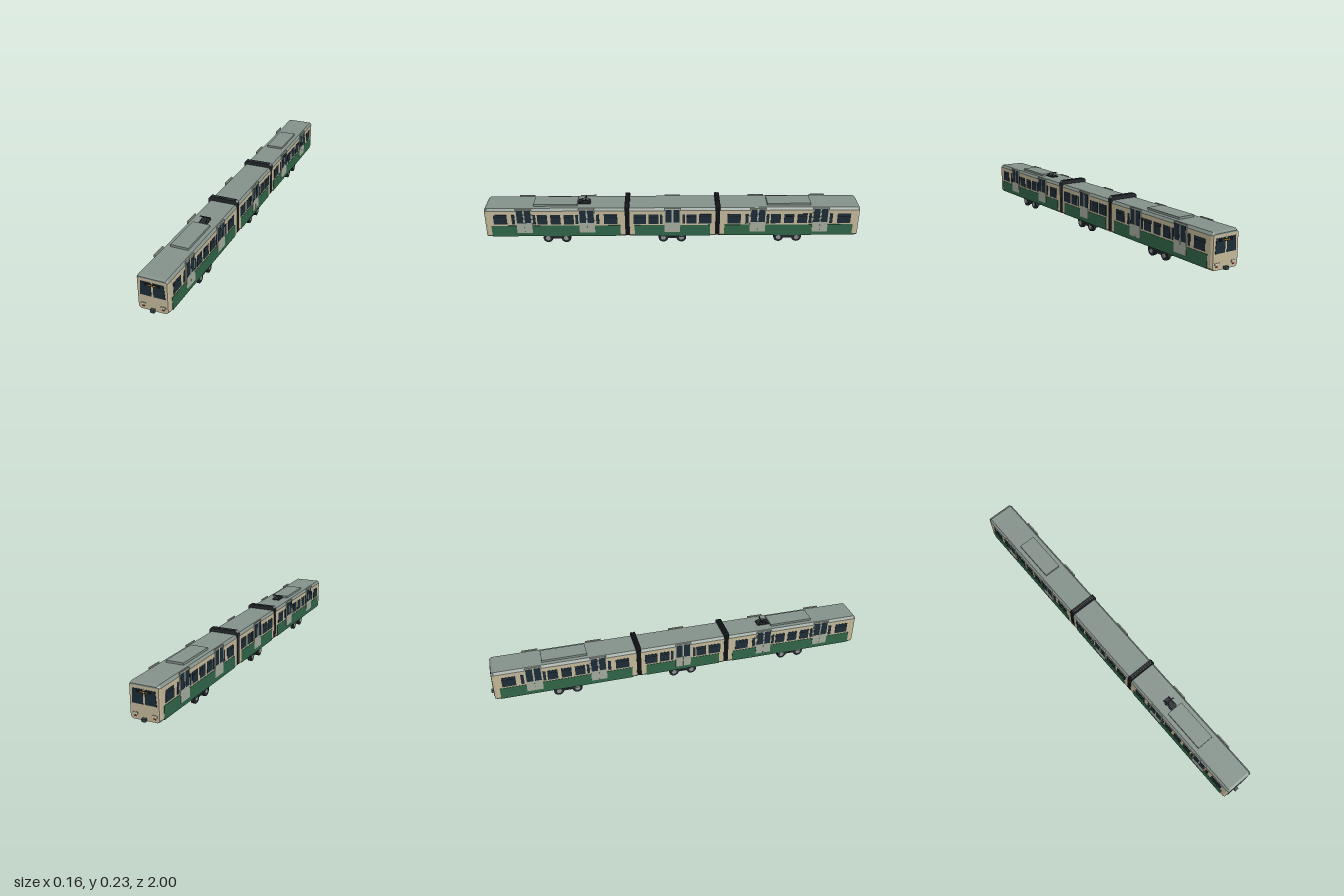
import * as THREE from 'three';

const mat = (color) => new THREE.MeshStandardMaterial({ color, flatShading: true, side: THREE.DoubleSide });
const M = {
  cream: mat(0xc2b799), roof: mat(0x84918a), green: mat(0x2f6447), glass: mat(0x1c2c36),
  door: mat(0xa3ab9c), dark: mat(0x23272c), frame: mat(0x38444a), steel: mat(0x8d9290),
  amber: mat(0xe0a030), red: mat(0x9c3030), lamp: mat(0xddd5b5), black: mat(0x121518),
};

function add(parent, name, geometry, material, x = 0, y = 0, z = 0) {
  const mesh = new THREE.Mesh(geometry, material);
  mesh.name = name;
  mesh.position.set(x, y, z);
  parent.add(mesh);
  return mesh;
}
const box = (parent, name, material, w, h, d, x, y, z) =>
  add(parent, name, new THREE.BoxGeometry(w, h, d), material, x, y, z);

// Skin over convex sections [z, points], ordered by rising z, points anticlockwise from +z
function loft(sections) {
  const n = sections[0][1].length, pos = [], idx = [];
  sections.forEach(([z, pts]) => pts.forEach(([x, y]) => pos.push(x, y, z)));
  for (let s = 0; s < sections.length - 1; s++) {
    for (let i = 0; i < n; i++) {
      const a = s * n + i, b = s * n + (i + 1) % n;
      idx.push(a, b, b + n, a, b + n, a + n);
    }
  }
  const e = (sections.length - 1) * n;
  for (let i = 1; i < n - 1; i++) idx.push(0, i + 1, i, e, e + i, e + i + 1);
  const g = new THREE.BufferGeometry();
  g.setAttribute('position', new THREE.Float32BufferAttribute(pos, 3));
  g.setIndex(idx);
  const flat = g.toNonIndexed();
  flat.computeVertexNormals();
  return flat;
}

// Cross-sections mirrored from the right-hand half
const mirror = (half) => [...half, ...half.slice().reverse().map(([x, y]) => [-x, y])];
const wallSection = (inset) => mirror([[0.066 - inset, 0.037], [0.0765 - inset, 0.048], [0.0765 - inset, 0.193]]);
const roofSection = (inset, top) => mirror([[0.0765 - inset, 0.193], [0.067 - inset, top]]);
const bellowsSection = (inset) => mirror([
  [0.07 - inset, 0.042], [0.079 - inset, 0.05], [0.079 - inset, 0.216 - inset], [0.068 - inset, 0.227 - inset]]);

// Stripe, windows and doors on both sides; windows are [centre z, width]
function addSides(car, stripe, windows, doors) {
  for (const s of [1, -1]) {
    box(car, 'lowerStripe', M.green, 0.004, 0.064, stripe, s * 0.0762, 0.075, 0);
    for (const [z, w] of windows) {
      box(car, 'sideWindow', M.glass, 0.003, 0.056, w, s * 0.0765, 0.143, z);
      if (w > 0.03) box(car, 'windowBar', M.black, 0.0036, 0.0025, w, s * 0.0765, 0.156, z);
    }
    for (const dz of doors) {
      for (const leaf of [-1, 1]) {
        const z = dz + leaf * 0.0208;
        box(car, 'doorLeaf', M.door, 0.006, 0.142, 0.041, s * 0.077, 0.136, z);
        box(car, 'doorWindow', M.glass, 0.002, 0.076, 0.033, s * 0.0795, 0.162, z);
      }
    }
  }
}

function makeBogie() {
  const g = new THREE.Group();
  g.name = 'bogie';
  box(g, 'bogieFrame', M.frame, 0.13, 0.022, 0.125, 0, 0.03, 0);
  for (const z of [-0.048, 0.048]) {
    add(g, 'axle', new THREE.CylinderGeometry(0.008, 0.008, 0.13, 12).rotateZ(Math.PI / 2), M.dark, 0, 0.026, z);
    for (const s of [1, -1]) {
      add(g, 'wheel', new THREE.CylinderGeometry(0.026, 0.026, 0.016, 20).rotateZ(Math.PI / 2), M.dark, s * 0.061, 0.026, z);
      add(g, 'wheelHub', new THREE.CylinderGeometry(0.013, 0.013, 0.004, 16).rotateZ(Math.PI / 2), M.steel, s * 0.07, 0.026, z);
    }
  }
  for (const s of [1, -1]) box(g, 'sideBeam', M.dark, 0.006, 0.012, 0.14, s * 0.069, 0.036, 0);
  return g;
}

// Driver's end, facing +z, with its face at z = 0
function makeCab() {
  const g = new THREE.Group();
  g.name = 'cabFront';
  for (const s of [1, -1]) {
    const pane = new THREE.Shape([[0.005, 0.111], [0.061, 0.111], [0.056, 0.179], [0.005, 0.179]]
      .map(([x, y]) => new THREE.Vector2(s * x, y)));
    add(g, 'windshield', new THREE.ExtrudeGeometry(pane, { depth: 0.002, bevelEnabled: false }), M.glass);
    box(g, 'headlightRim', M.steel, 0.025, 0.011, 0.002, s * 0.048, 0.065, 0.001);
    box(g, 'headlight', M.lamp, 0.021, 0.007, 0.003, s * 0.048, 0.065, 0.0015);
    box(g, 'tailLight', M.red, 0.011, 0.005, 0.003, s * 0.048, 0.053, 0.0015);
  }
  box(g, 'centrePost', M.cream, 0.009, 0.07, 0.003, 0, 0.146, 0.0005);
  box(g, 'signPanel', M.black, 0.078, 0.012, 0.003, 0, 0.168, 0.0015);
  for (let i = -2; i <= 2; i++) box(g, 'signLamp', M.amber, 0.006, 0.004, 0.002, i * 0.008, 0.168, 0.003);
  box(g, 'coupler', M.frame, 0.02, 0.014, 0.03, 0, 0.043, 0);
  return g;
}

// End car: cab towards +z, centred on its own bogie
function makeEndCar() {
  const car = new THREE.Group(), back = -0.37, front = 0.37;
  add(car, 'carBody', loft([[back, wallSection(0)], [front - 0.012, wallSection(0)], [front, wallSection(0.005)]]), M.cream);
  add(car, 'carRoof', loft([[back, roofSection(0, 0.206)], [front - 0.012, roofSection(0, 0.206)],
    [front, roofSection(0.005, 0.199)]]), M.roof);
  const windows = [[0, 0.052]];
  for (const s of [1, -1]) windows.push([s * 0.07, 0.052], [s * 0.112, 0.014], [s * 0.222, 0.016], [s * 0.29, 0.07]);
  addSides(car, 0.68, windows, [-0.165, 0.165]);
  box(car, 'roofUnit', M.roof, 0.09, 0.012, 0.23, 0, 0.211, 0);
  const cab = makeCab();
  cab.position.z = front;
  car.add(cab, makeBogie());
  return car;
}

function makeMiddleCar() {
  const car = new THREE.Group();
  car.name = 'middleCar';
  add(car, 'carBody', loft([[-0.23, wallSection(0)], [0.23, wallSection(0)]]), M.cream);
  add(car, 'carRoof', loft([[-0.23, roofSection(0, 0.206)], [0.23, roofSection(0, 0.206)]]), M.roof);
  const windows = [];
  for (const s of [1, -1]) windows.push([s * 0.06, 0.013], [s * 0.1, 0.052], [s * 0.172, 0.066]);
  addSides(car, 0.4, windows, [0]);
  car.add(makeBogie());
  return car;
}

// Folded current collector with a low pointed arm frame
function makePantograph() {
  const g = new THREE.Group();
  g.name = 'pantograph';
  box(g, 'base', M.dark, 0.04, 0.005, 0.065, 0, 0.2085, 0);
  const rod = (name, a, b) => add(g, name, new THREE.TubeGeometry(
    new THREE.LineCurve3(new THREE.Vector3(...a), new THREE.Vector3(...b)), 1, 0.0016, 6), M.dark);
  for (const s of [1, -1]) {
    rod('lowerArm', [s * 0.017, 0.211, 0.03], [s * 0.012, 0.228, -0.008]);
    rod('upperArm', [s * 0.017, 0.211, -0.03], [s * 0.012, 0.228, -0.008]);
  }
  box(g, 'contactBar', M.dark, 0.056, 0.003, 0.006, 0, 0.2285, -0.008);
  return g;
}

export function createModel() {
  const model = new THREE.Group();
  model.name = 'articulatedTram';
  const frontCar = makeEndCar(), rearCar = makeEndCar();
  frontCar.name = 'frontCar';
  rearCar.name = 'rearCar';
  frontCar.position.z = 0.615;
  rearCar.position.z = -0.615;
  rearCar.rotation.y = Math.PI;
  const pantograph = makePantograph();
  pantograph.position.z = 0.465;
  model.add(frontCar, makeMiddleCar(), rearCar, pantograph);

  // Ribbed bellows between the cars
  const folds = [];
  for (let i = 0; i <= 6; i++) folds.push([-0.012 + i * 0.004, bellowsSection(i % 2 ? 0.002 : 0)]);
  for (const z of [-0.238, 0.238]) add(model, 'bellows', loft(folds), M.dark, 0, 0, z);
  return model;
}
